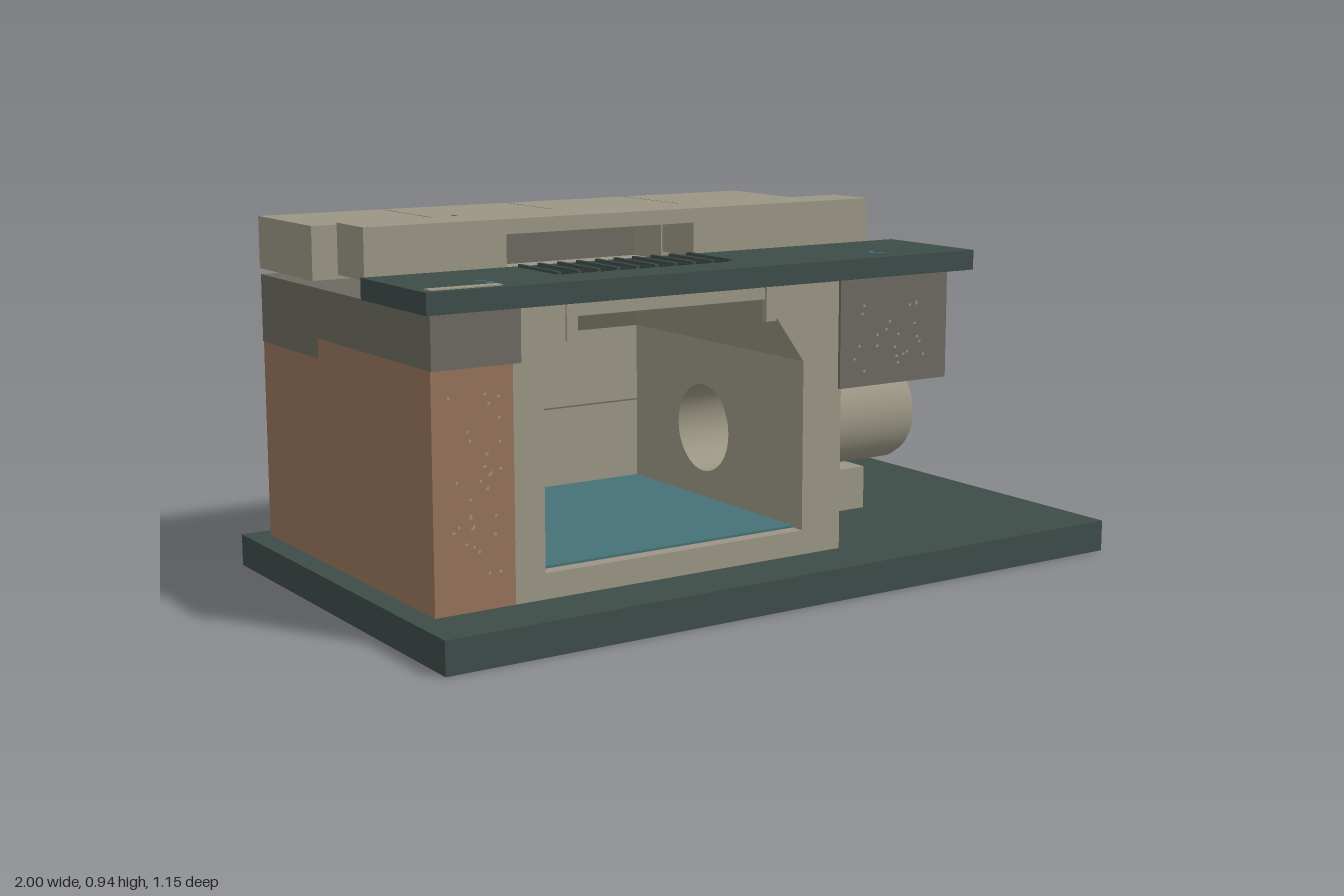
import * as THREE from 'three';
import { toCreasedNormals } from 'three/addons/utils/BufferGeometryUtils.js';

const material = (name, color) => {
  const m = new THREE.MeshStandardMaterial({ color });
  m.name = name;
  return m;
};

export function createModel() {
  const concrete = material('concrete', 0x9a9583);
  const brick = material('brick', 0x95735b);
  const stone = material('darkStone', 0x6b695f);
  const green = material('darkGreen', 0x3d4c48);
  const teal = material('teal', 0x457078);
  const model = new THREE.Group();
  model.name = 'fireboxModel';

  const add = (name, geo, mat) => {
    const mesh = new THREE.Mesh(geo, mat);
    mesh.name = name;
    model.add(mesh);
    return mesh;
  };
  // Box given by its limits on each axis
  const box = (name, mat, x0, x1, y0, y1, z0, z1) => {
    const g = new THREE.BoxGeometry(x1 - x0, y1 - y0, z1 - z0);
    g.translate((x0 + x1) / 2, (y0 + y1) / 2, (z0 + z1) / 2);
    return add(name, g, mat);
  };
  const polygon = (pts) => new THREE.Shape(pts.map(([x, y]) => new THREE.Vector2(x, y)));
  const rectHole = (x0, x1, y0, y1) =>
    new THREE.Path([[x0, y0], [x0, y1], [x1, y1], [x1, y0]].map(([x, y]) => new THREE.Vector2(x, y)));
  const extrude = (shape, depth) =>
    new THREE.ExtrudeGeometry(shape, { depth, bevelEnabled: false, curveSegments: 32 });

  // Base
  box('base', green, -1, 1, 0, 0.083, -0.58, 0.575);

  // Brick walls
  box('leftBrickWall', brick, -0.94, -0.73, 0.083, 0.65, -0.19, 0.412);
  box('backLeftBrick', brick, -0.94, -0.748, 0.083, 0.6, -0.53, -0.19);
  box('backBrickWall', brick, -0.742, 0.227, 0.083, 0.7, -0.53, -0.42);
  box('backRightBrick', brick, 0.233, 0.56, 0.083, 0.6, -0.53, -0.2);

  // Dark cap stones
  box('frontLeftCap', stone, -0.94, -0.71, 0.65, 0.775, -0.19, 0.416);
  box('backLeftCap', stone, -0.94, -0.742, 0.6, 0.775, -0.535, -0.19);
  box('backRightCap', stone, 0.227, 0.56, 0.6, 0.775, -0.535, -0.19);
  box('frontRightBlock', stone, 0.21, 0.56, 0.5, 0.775, 0.145, 0.42);
  box('backLintel', stone, -0.83, 0.46, 0.69, 0.79, -0.54, -0.42);

  // Chamber floor, posts and walls
  box('chamberSill', concrete, -0.73, 0.22, 0.083, 0.146, -0.42, 0.412);
  box('chamberFloor', teal, -0.65, 0.1, 0.146, 0.152, -0.36, 0.375);
  box('leftChamberWall', concrete, -0.73, -0.65, 0.146, 0.58, -0.36, 0.412);
  box('backChamberWall', concrete, -0.73, 0.22, 0.146, 0.58, -0.42, -0.36);
  box('rightPost', concrete, 0.1, 0.22, 0.146, 0.61, 0.38, 0.412);
  box('backJoint', stone, -0.65, 0.1, 0.368, 0.372, -0.36, -0.358);
  box('leftJoint', stone, -0.65, -0.648, 0.368, 0.372, -0.36, 0.4);

  // Right wall panel with the pipe opening
  const panel = polygon([[-0.38, 0.146], [0.36, 0.146], [0.36, 0.61], [-0.38, 0.61]]);
  panel.holes.push(new THREE.Path().absarc(0.03, 0.34, 0.118, 0, Math.PI * 2, true));
  const panelGeo = extrude(panel, 0.07);
  panelGeo.rotateY(Math.PI / 2).translate(0.1, 0, 0);
  add('rightChamberWall', panelGeo, concrete);

  // Sloped sides of the hood
  const sides = {
    rightHoodSide: [[0.1, 0.58], [0.11, 0.58], [0.11, 0.61], [0.22, 0.61], [0.22, 0.775], [-0.02, 0.775], [-0.02, 0.745]],
    leftHoodSide: [[-0.73, 0.58], [-0.65, 0.58], [-0.56, 0.745], [-0.56, 0.775], [-0.73, 0.775]],
  };
  for (const [name, pts] of Object.entries(sides)) {
    add(name, extrude(polygon(pts), 0.772).translate(0, 0, -0.36), concrete);
  }

  // Sloped back of the hood
  const slope = polygon([[0.42, 0.58], [0.42, 0.79], [0.2, 0.79], [0.2, 0.745], [0.36, 0.58]]);
  add('hoodBack', extrude(slope, 0.93).rotateY(Math.PI / 2).translate(-0.72, 0, 0), concrete);

  // Chamber ceiling, left open below the grille
  box('rearCeiling', concrete, -0.71, 0.22, 0.745, 0.8, -0.21, 0.085);
  box('frontCeiling', concrete, -0.57, -0.01, 0.745, 0.775, 0.3, 0.41);
  for (const x of [-0.575, -0.005]) {
    box('hoodBracket', concrete, x - 0.015, x + 0.015, 0.69, 0.775, 0.4, 0.418);
  }
  box('smallCorbel', concrete, -0.71, -0.66, 0.735, 0.775, 0.4, 0.417);

  // Front roof plate with grille slots
  const roof = polygon([[-0.95, -0.42], [0.65, -0.42], [0.65, -0.085], [-0.95, -0.085]]);
  const pitch = 0.055;
  for (let i = 0; i < 9; i++) {
    const x = -0.525 + i * pitch;
    roof.holes.push(rectHole(x, x + 0.04, -0.29, -0.1));
  }
  add('roofPlate', extrude(roof, 0.052).rotateX(-Math.PI / 2).translate(0, 0.776, 0), green);
  for (let i = 0; i < 10; i++) {
    const x = -0.54 + i * pitch;
    box('grilleBar', green, x + 0.002, x + 0.013, 0.828, 0.835, 0.1, 0.29);
  }

  // Painted marks on the roof plate
  box('roofStrip', concrete, -0.93, -0.745, 0.826, 0.831, 0.37, 0.398);
  for (const [x, side] of [[-0.74, 1], [0.365, -1]]) {
    for (const s of [-1, 1]) {
      const g = new THREE.BoxGeometry(0.04, 0.004, 0.008);
      g.rotateY(s * side * 0.7).translate(x - side * 0.015, 0.83, 0.34 + s * 0.012);
      add('roofArrow', g, teal);
    }
  }

  // Notched beam behind the roof plate
  const beam = polygon([[-0.94, 0.82], [-0.56, 0.82], [-0.56, 0.908], [-0.01, 0.908], [-0.01, 0.82],
    [0.56, 0.82], [0.56, 0.945], [-0.94, 0.945]]);
  add('notchedBeam', extrude(beam, 0.145).translate(0, 0, -0.06), concrete);

  // Smoke duct between beam and slabs
  box('ductBack', stone, -0.56, -0.01, 0.8, 0.908, -0.21, -0.19);
  box('ductLid', concrete, -0.56, 0.0, 0.908, 0.935, -0.2, -0.06);
  for (const x of [-0.575, 0.0]) {
    box('ductSide', concrete, x - 0.015, x + 0.015, 0.8, 0.91, -0.21, -0.06);
  }

  // Rear cover slabs
  const joints = [-0.94, -0.59, -0.21, 0.17, 0.56];
  for (let i = 0; i < 4; i++) {
    box('coverSlab', concrete, joints[i] + (i ? 0.003 : 0), joints[i + 1] - (i < 3 ? 0.003 : 0),
      0.79, 0.925, -0.54, -0.21);
  }

  // Pipe, collar and support block
  const lathe = (name, pts) => {
    const g = new THREE.LatheGeometry(pts.map(([r, h]) => new THREE.Vector2(r, h)), 48);
    g.rotateZ(-Math.PI / 2);
    add(name, toCreasedNormals(g, 0.5), concrete).position.set(0, 0.34, -0.03);
  };
  lathe('pipe', [[0.145, 0.17], [0.145, 0.7], [0.137, 0.72], [0.116, 0.72], [0.116, 0.1]]);
  lathe('pipeCollar', [[0.14, 0.165], [0.154, 0.165], [0.154, 0.285], [0.14, 0.285]]);
  box('pipeSupport', concrete, 0.33, 0.56, 0.083, 0.2, -0.15, 0.09);

  // Pale flecks on the brick and stone fronts
  let seed = 7;
  const rand = () => (seed = (seed * 16807) % 2147483647) / 2147483647;
  const flecks = (name, count, x0, x1, y0, y1, z) => {
    for (let i = 0; i < count; i++) {
      const x = x0 + rand() * (x1 - x0);
      const y = y0 + rand() * (y1 - y0);
      box(name, concrete, x, x + 0.007, y, y + 0.006, z, z + 0.002);
    }
  };
  flecks('brickFleck', 30, -0.9, -0.76, 0.14, 0.62, 0.411);
  flecks('stoneFleck', 22, 0.25, 0.48, 0.52, 0.72, 0.419);

  return model;
}
